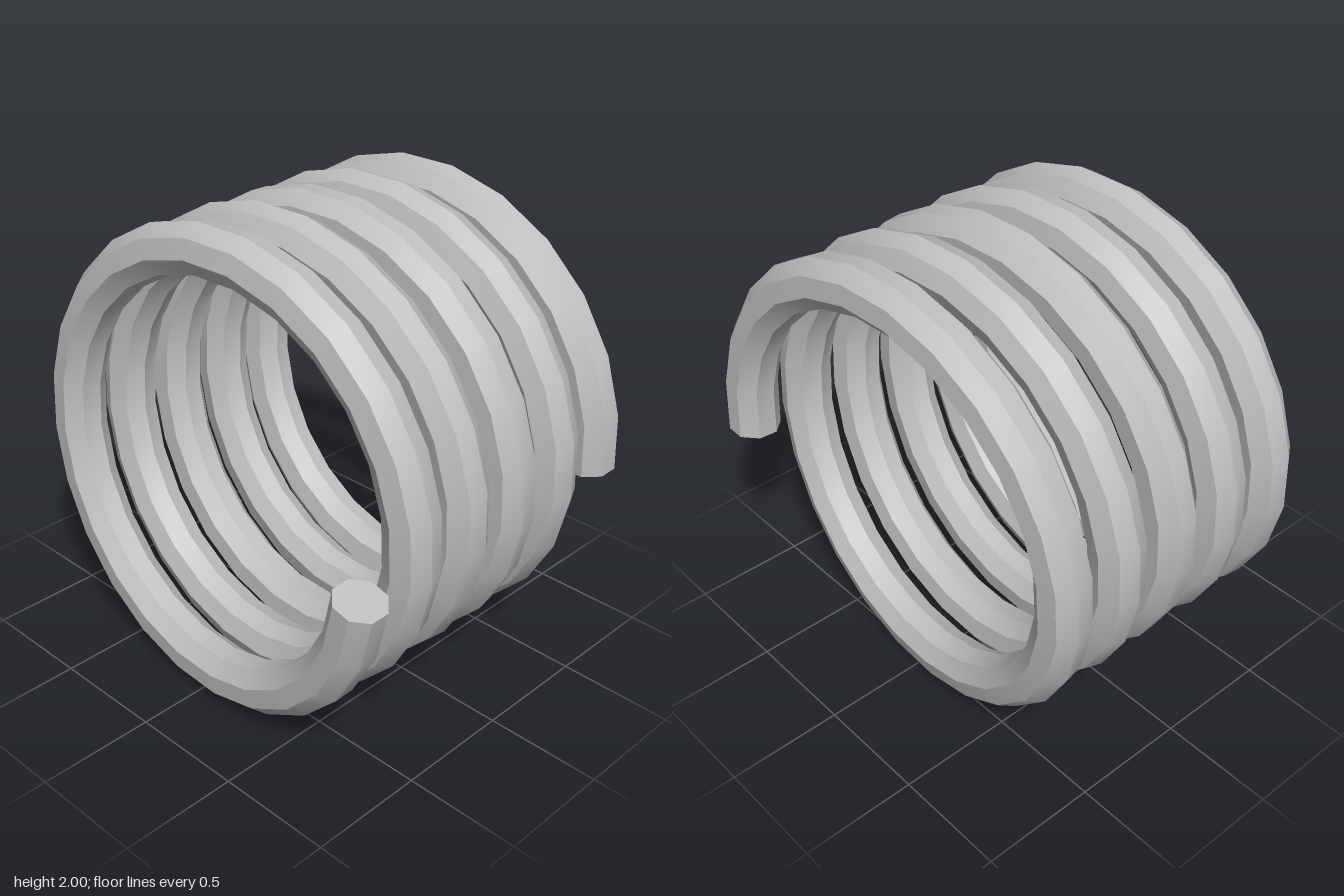
import * as THREE from 'three';
import { toCreasedNormals } from 'three/addons/utils/BufferGeometryUtils.js';

const TURNS = 5, STEPS = 24, SIDES = 8;
const COIL_RADIUS = 0.897, WIRE_RADIUS = 0.11, HALF_DEPTH = 0.688;

// Centre line: clockwise seen from the front, running front to back
function helixPoints() {
  const points = [];
  const count = TURNS * STEPS;
  for (let i = 0; i <= count; i++) {
    const a = -((i + 0.5) / STEPS) * Math.PI * 2;
    points.push(new THREE.Vector3(
      COIL_RADIUS * Math.cos(a),
      1 + COIL_RADIUS * Math.sin(a),
      HALF_DEPTH * (1 - (2 * i) / count)
    ));
  }
  return points;
}

// Sweep an octagon along the points without adding roll, and cap both ends
function sweep(points) {
  const last = points.length - 1;
  const tangentAt = (i) => new THREE.Vector3()
    .subVectors(points[Math.min(i + 1, last)], points[Math.max(i - 1, 0)]).normalize();

  let tangent = tangentAt(0);
  const u = new THREE.Vector3(0, 0, 1).cross(tangent).normalize();
  const turn = new THREE.Quaternion();
  const positions = [], index = [];

  points.forEach((p, i) => {
    const next = tangentAt(i);
    u.applyQuaternion(turn.setFromUnitVectors(tangent, next));
    tangent = next;
    const v = new THREE.Vector3().crossVectors(tangent, u);
    for (let s = 0; s < SIDES; s++) {
      const a = ((s + 0.5) / SIDES) * Math.PI * 2;
      const q = p.clone()
        .addScaledVector(u, WIRE_RADIUS * Math.cos(a))
        .addScaledVector(v, WIRE_RADIUS * Math.sin(a));
      positions.push(q.x, q.y, q.z);
    }
  });

  // Side faces
  for (let i = 0; i < last; i++) {
    for (let s = 0; s < SIDES; s++) {
      const a = i * SIDES + s, b = i * SIDES + (s + 1) % SIDES;
      index.push(a, b, b + SIDES, a, b + SIDES, a + SIDES);
    }
  }
  // End caps
  const end = last * SIDES;
  for (let s = 1; s < SIDES - 1; s++) {
    index.push(0, s + 1, s, end, end + s, end + s + 1);
  }

  const geometry = new THREE.BufferGeometry();
  geometry.setAttribute('position', new THREE.Float32BufferAttribute(positions, 3));
  geometry.setIndex(index);
  return toCreasedNormals(geometry, Math.PI / 6);
}

export function createModel() {
  const steel = new THREE.MeshStandardMaterial({ color: 0xbfbfbf });
  steel.name = 'steel grey';

  const coil = new THREE.Mesh(sweep(helixPoints()), steel);
  coil.name = 'springCoil';

  const model = new THREE.Group();
  model.name = 'coilSpring';
  model.add(coil);
  return model;
}
